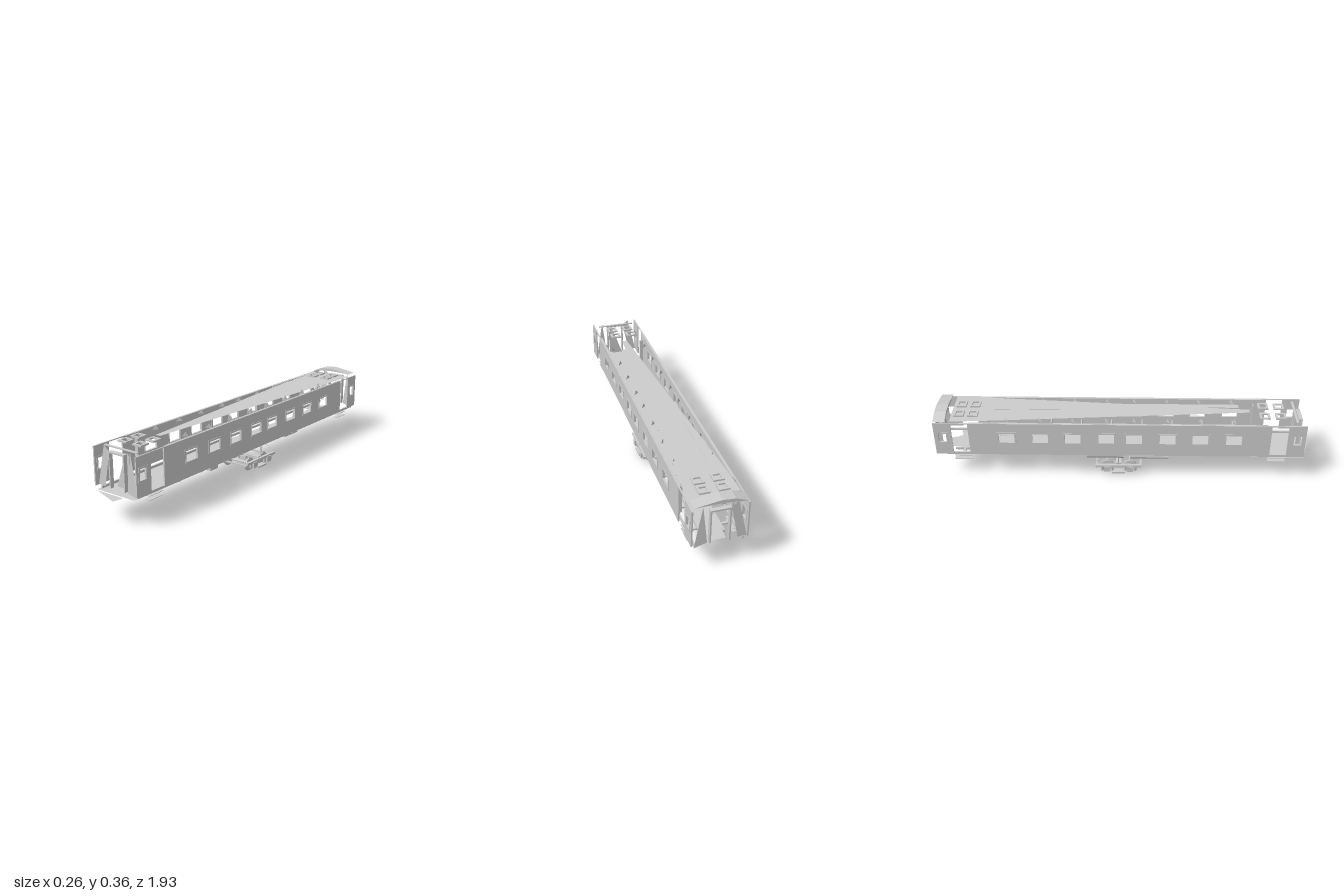
import * as THREE from 'three';

const mat = new THREE.MeshStandardMaterial({ color: 0xcccccc, flatShading: true, side: THREE.DoubleSide });
const CX = 0.005; // centre line of the body

export function createModel() {
  const model = new THREE.Group();

  const add = (name, geo, x = 0, y = 0, z = 0) => {
    const m = new THREE.Mesh(geo, mat);
    m.name = name;
    m.position.set(x, y, z);
    model.add(m);
    return m;
  };
  const box = (name, w, h, d, x, y, z) => add(name, new THREE.BoxGeometry(w, h, d), x, y, z);
  const tube = (name, r, len, x, y, z, axis, sides = 14) => {
    const g = new THREE.CylinderGeometry(r, r, len, sides);
    if (axis === 'x') g.rotateZ(Math.PI / 2);
    if (axis === 'z') g.rotateX(Math.PI / 2);
    return add(name, g, x, y, z);
  };
  const outline = pts => new THREE.Shape(pts.map(p => new THREE.Vector2(p[0], p[1])));
  const rect = (a, b, c, d) => outline([[a, c], [b, c], [b, d], [a, d]]);
  // upright sheet, points are (x, y)
  const sheet = (name, pts, z) => add(name, new THREE.ShapeGeometry(outline(pts)), 0, 0, z);
  // level sheet, points are (x, z)
  const deck = (name, pts, y) => {
    const g = new THREE.ShapeGeometry(outline(pts.map(([x, z]) => [x, -z])));
    g.rotateX(-Math.PI / 2);
    return add(name, g, 0, y, 0);
  };

  // Side walls: three sections each, parted by the open doorways
  const windows = [0.585, 0.415, 0.25, 0.08, -0.06, -0.23, -0.395, -0.565];
  const sections = [
    [0.855, 0.945, [[0.905, 0.05]]],
    [-0.757, 0.77, windows.map(z => [z, 0.09])],
    [-0.932, -0.843, [[-0.89, 0.05]]],
  ];
  for (const side of [-1, 1]) {
    const wallX = CX + side * 0.127;
    for (const [z0, z1, holes] of sections) {
      const shape = rect(z0, z1, 0.148, 0.332);
      for (const [z, w] of holes) shape.holes.push(rect(z - w / 2, z + w / 2, 0.215, 0.278));
      const g = new THREE.ExtrudeGeometry(shape, { depth: 0.007, bevelEnabled: false });
      g.rotateY(-Math.PI / 2);
      add('sideWall', g, wallX + 0.0035);
      // window frames
      for (const [z, w] of holes) {
        const frame = rect(z - w / 2 - 0.003, z + w / 2 + 0.003, 0.212, 0.281);
        frame.holes.push(rect(z - w / 2 + 0.005, z + w / 2 - 0.005, 0.22, 0.273));
        const fg = new THREE.ExtrudeGeometry(frame, { depth: 0.011, bevelEnabled: false });
        fg.rotateY(-Math.PI / 2);
        add('windowFrame', fg, wallX + 0.0055);
      }
    }
    // doorway rails and entrance steps
    for (const z of [0.812, -0.8]) {
      box('doorLintel', 0.006, 0.004, 0.086, wallX, 0.33, z);
      for (const y of [0.105, 0.125]) box('entranceStep', 0.025, 0.002, 0.09, CX + side * 0.105, y, z);
    }
    box('sill', 0.008, 0.012, 1.85, CX + side * 0.108, 0.138, 0);
    // small pointed roof vents
    for (const z of windows) {
      const vent = sheet('roofVent', [[-0.015, 0], [0.015, 0], [0.003, 0.024]], z);
      vent.position.set(CX + side * 0.092, 0.325, z);
      vent.rotation.y = 0.7;
    }
    box('gutter', 0.006, 0.003, 1.5, CX + side * 0.12, 0.331, 0);
  }

  // Tapering roof and the crowned end sheet
  deck('roof', [[-0.112, -0.85], [0.13, -0.85], [0.118, -0.7], [0.022, 0.67], [-0.005, 0.67], [-0.105, -0.7]], 0.336);
  const crown = new THREE.ExtrudeGeometry(
    outline([[-0.12, 0.339], [-0.06, 0.361], [0, 0.366], [0.06, 0.358], [0.125, 0.347], [0, 0.35]]),
    { depth: 0.06, bevelEnabled: false });
  add('roofEnd', crown, 0, 0, -0.93);
  box('roofWalk', 0.004, 0.002, 0.33, -0.035, 0.363, -0.465);
  box('frontRoofBar', 0.2, 0.005, 0.012, CX, 0.333, 0.9);
  for (const z of [-0.81, -0.74, 0.74, 0.82])
    for (const x of [-0.045, 0.045]) {
      const grille = rect(-0.026, 0.026, -0.026, 0.026);
      grille.holes.push(rect(-0.016, 0.016, -0.016, 0.016));
      const g = new THREE.ExtrudeGeometry(grille, { depth: 0.008, bevelEnabled: false });
      g.rotateX(Math.PI / 2);
      add('roofHatch', g, x, 0.345, z);
    }

  // Ends: doorway frame with tapered panels at both sides
  for (const z of [0.925, -0.925]) {
    for (const x of [-0.038, 0.05]) box('endDoorPost', 0.007, 0.17, 0.02, x, 0.235, z);
    box('endDoorHead', 0.095, 0.008, 0.02, 0.006, 0.318, z);
    sheet('endPanel', [[-0.12, 0.148], [-0.078, 0.148], [-0.044, 0.318], [-0.076, 0.342]], z);
    sheet('endPanel', [[0.06, 0.148], [0.12, 0.13], [0.083, 0.342]], z);
  }
  sheet('endPanel', [[-0.03, 0.15], [0.045, 0.15], [0.05, 0.318], [0.03, 0.318]], 0.9);
  box('vestibuleCeiling', 0.07, 0.016, 0.004, 0, 0.309, -0.7);

  // Tapering floor with its pointed front plate, and the underframe
  deck('floor', [[-0.112, 0.945], [0.115, 0.945], [0.1, 0.2], [0.045, -0.9], [-0.035, -0.9], [-0.1, 0.2]], 0.132);
  deck('frontPlate', [[-0.112, 0.945], [0.05, 0.945], [0.04, 0.998]], 0.127);
  for (const x of [-0.045, 0.055]) box('longBeam', 0.01, 0.012, 1.7, x, 0.126, 0);
  for (let i = 0; i < 11; i++) box('crossBeam', 0.2, 0.008, 0.012, CX, 0.127, -0.8 + i * 0.16);

  // Interior: slim partition posts, seats and luggage shelf
  for (const z of [0.7, -0.7])
    for (const x of [-0.1, 0.11]) box('partitionPost', 0.02, 0.16, 0.004, x, 0.23, z);
  for (let i = 0; i < 7; i++) {
    const z = 0.6 - i * 0.16;
    box('seatBack', 0.05, 0.055, 0.005, 0.09, 0.18, z);
    box('seat', 0.05, 0.006, 0.04, 0.09, 0.17, z + 0.02);
  }
  box('luggageRail', 0.03, 0.003, 1.25, 0.107, 0.3, 0);

  // Underfloor tanks and equipment
  tube('airTank', 0.023, 0.19, -0.046, 0.1, -0.07, 'z');
  tube('airTank', 0.017, 0.2, -0.06, 0.1, 0.16, 'z');
  box('equipmentBox', 0.05, 0.02, 0.06, 0.06, 0.107, 0.36);
  box('equipmentBox', 0.06, 0.008, 0.13, 0.06, 0.112, -0.31);
  tube('brakeRod', 0.003, 0.7, 0.02, 0.11, 0.02, 'z', 6);
  for (const z of [0.1, -0.1]) {
    const rod = tube('brakeLink', 0.002, 0.08, 0.055, 0.108, z, 'x', 6);
    rod.rotation.z = -0.35;
  }

  // Central bogie
  tube('pivot', 0.004, 0.09, CX, 0.09, 0, 'y', 8);
  box('bolster', 0.19, 0.014, 0.03, CX, 0.062, 0);
  box('bolsterTop', 0.04, 0.02, 0.05, CX, 0.048, 0);
  for (const z of [0.06, -0.06]) {
    tube('axle', 0.006, 0.22, CX, 0.042, z, 'x', 8);
    for (const side of [-1, 1]) {
      const x = CX + side * 0.071;
      tube('wheel', 0.033, 0.008, x, 0.039, z, 'x', 16);
      tube('wheelFlange', 0.036, 0.003, x - side * 0.005, 0.039, z, 'x', 16);
      box('axleBox', 0.026, 0.03, 0.03, CX + side * 0.1, 0.042, z);
      for (const dz of [-0.025, 0.025]) tube('spring', 0.008, 0.03, CX + side * 0.1, 0.045, z + dz, 'y', 8);
    }
  }
  for (const side of [-1, 1]) {
    box('bogieFrame', 0.016, 0.012, 0.24, CX + side * 0.1, 0.058, 0);
    box('springPlank', 0.03, 0.008, 0.07, CX + side * 0.098, 0.02, 0);
    tube('hanger', 0.003, 0.06, CX + side * 0.1, 0.095, 0, 'y', 6);
  }
  for (const z of [0.115, -0.115]) box('brakeBeam', 0.19, 0.008, 0.008, CX, 0.045, z);

  return model;
}
